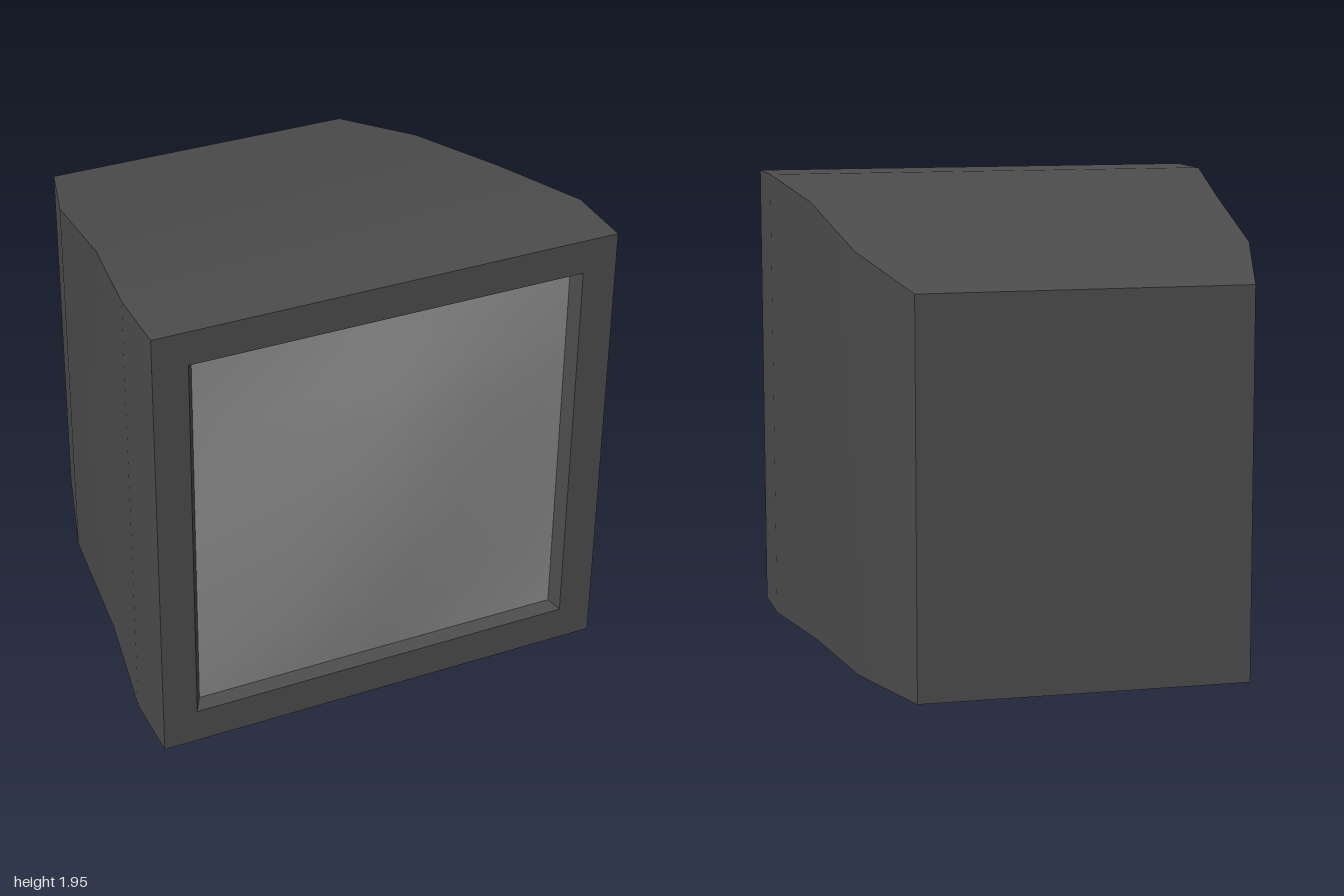
import * as THREE from 'three';
import { toCreasedNormals } from 'three/addons/utils/BufferGeometryUtils.js';

// Skin over rectangular cross-sections [z, halfWidth, bottom, top], ordered back to front, closed at the back
function rectLoft(rings) {
  const pos = [], idx = [];
  for (const [z, w, b, t] of rings) pos.push(-w, b, z, w, b, z, w, t, z, -w, t, z);
  for (let r = 0; r < rings.length - 1; r++) {
    for (let i = 0; i < 4; i++) {
      const a = r * 4 + i, c = r * 4 + (i + 1) % 4;
      idx.push(a, c, c + 4, a, c + 4, a + 4);
    }
  }
  idx.push(0, 2, 1, 0, 3, 2);
  const geo = new THREE.BufferGeometry();
  geo.setAttribute('position', new THREE.Float32BufferAttribute(pos, 3));
  geo.setIndex(idx);
  return toCreasedNormals(geo, Math.PI / 6);
}

// Bulging glass: a grid that rises from a flat rim to a blunt peak
function bulgedScreen() {
  const xs = [-0.8, -0.4, 0, 0.4, 0.8];
  const rows = [[1.78, 0], [1.51, 0.5], [1.34, 0.8], [0.91, 1], [0.45, 0.5], [0.175, 0]];
  const geo = new THREE.PlaneGeometry(1, 1, xs.length - 1, rows.length - 1);
  const p = geo.attributes.position;
  rows.forEach(([y, rise], r) => xs.forEach((x, c) => {
    p.setXYZ(r * xs.length + c, x, y, 0.9 + 0.1 * rise * (1 - Math.abs(x) / 0.8));
  }));
  geo.computeVertexNormals();
  return geo;
}

export function createModel() {
  const model = new THREE.Group();
  model.name = 'monitor';

  // Casing: tapered back, square front, then the bezel face and the sloped recess
  const casing = new THREE.Mesh(
    rectLoft([
      [-1, 0.68, 0, 1.6],
      [-0.51, 0.82, 0, 1.72],
      [0.12, 0.885, 0, 1.865],
      [0.65, 0.975, 0, 1.95],
      [0.95, 0.975, 0, 1.95],
      [0.95, 0.83, 0.15, 1.805],
      [0.9, 0.8, 0.175, 1.78],
    ]),
    new THREE.MeshStandardMaterial({ color: 0x4c4c4c }),
  );
  casing.name = 'casing';

  const screen = new THREE.Mesh(bulgedScreen(), new THREE.MeshStandardMaterial({ color: 0x8c8c8c }));
  screen.name = 'screen';

  model.add(casing, screen);
  return model;
}
